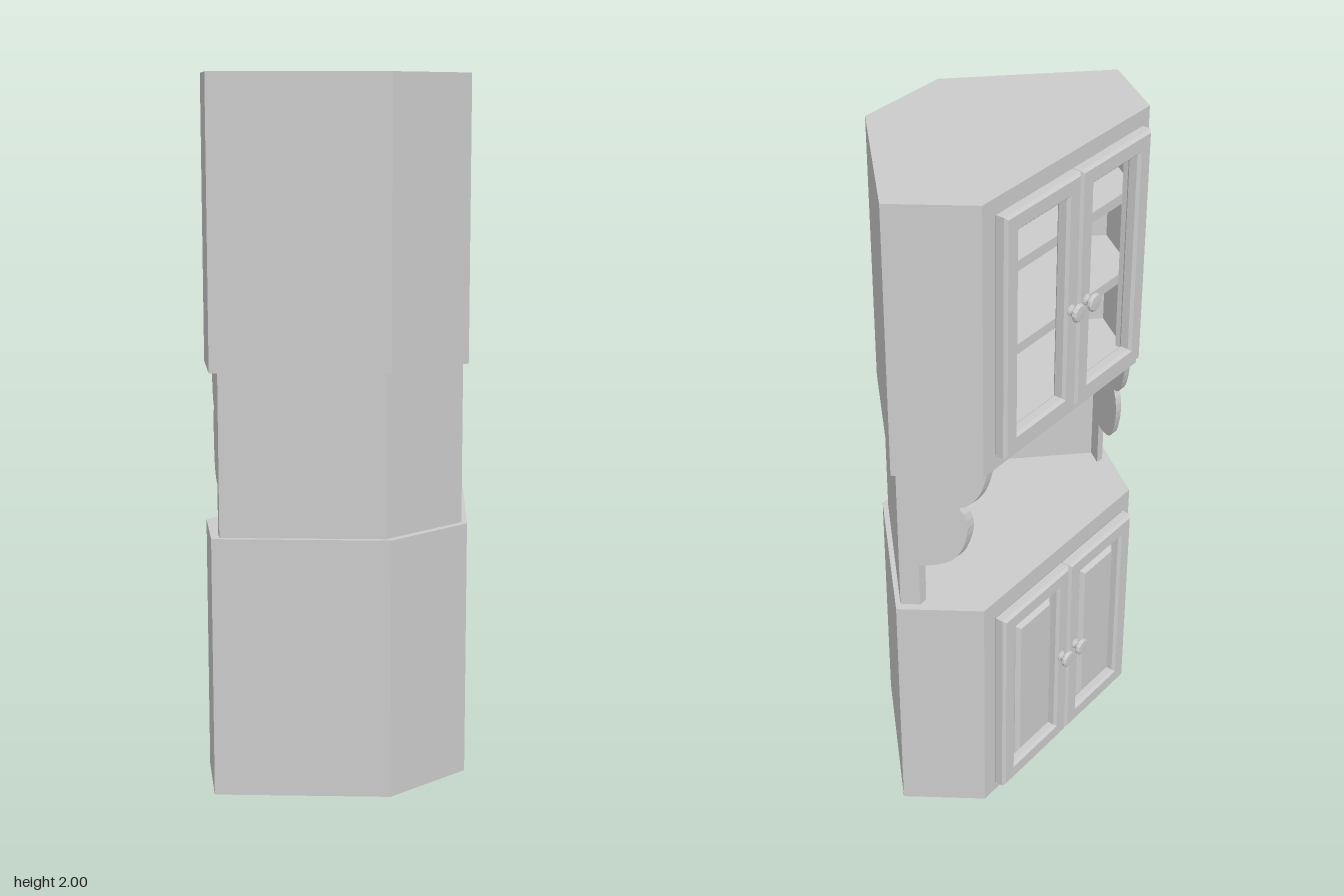
import * as THREE from 'three';

const material = new THREE.MeshStandardMaterial({ color: 0xcccccc, side: THREE.DoubleSide });

function mesh(name, geometry, parent) {
  const m = new THREE.Mesh(geometry, material);
  m.name = name;
  parent.add(m);
  return m;
}

const toShape = (points) => new THREE.Shape(points.map(([x, y]) => new THREE.Vector2(x, y)));

// Mirror a half outline given from front to back across z = 0
const mirrored = (half) => [...half, ...half.slice().reverse().map(([x, z]) => [x, -z])];

// Upright prism from a plan outline of [x, z] points
function prism(points, y0, y1) {
  const g = new THREE.ExtrudeGeometry(toShape(points), { depth: y1 - y0, bevelEnabled: false });
  return g.rotateX(-Math.PI / 2).translate(0, y0, 0);
}

// Wall following the outside of a plan, open at the front
function wall(outerHalf, innerHalf, y0, y1) {
  return prism([...mirrored(outerHalf), ...mirrored(innerHalf).reverse()], y0, y1);
}

const rect = (Type, z0, z1, y0, y1) => new Type([
  new THREE.Vector2(z0, y0), new THREE.Vector2(z1, y0),
  new THREE.Vector2(z1, y1), new THREE.Vector2(z0, y1),
]);

// Upright board facing -x, standing out from x = back, optionally with an opening
function board(outer, hole, back, thickness, bevel = 0) {
  const shape = rect(THREE.Shape, ...outer);
  if (hole) shape.holes.push(rect(THREE.Path, ...hole));
  const g = new THREE.ExtrudeGeometry(shape, {
    depth: thickness - 2 * bevel, bevelEnabled: bevel > 0, bevelSize: bevel,
    bevelThickness: bevel, bevelOffset: -bevel, bevelSegments: 1,
  });
  return g.translate(0, 0, bevel).rotateY(-Math.PI / 2).translate(back, 0, 0);
}

const inset = ([z0, z1, y0, y1], d) => [z0 + d, z1 - d, y0 + d, y1 - d];

// Turned knob pointing to -x
function knob(parent, y, z) {
  const profile = [[0.016, 0], [0.016, 0.004], [0.011, 0.007], [0.011, 0.016],
    [0.022, 0.018], [0.026, 0.022], [0.026, 0.029], [0.022, 0.033], [0, 0.034]];
  const g = new THREE.LatheGeometry(profile.map(([r, h]) => new THREE.Vector2(r, h)), 12).toNonIndexed();
  g.computeVertexNormals();
  mesh('knob', g.rotateZ(Math.PI / 2).translate(-0.279, y, z), parent);
}

// Pair of doors, open framed or with raised panels
function doors(parent, y0, y1, knobY, panelled) {
  for (const s of [-1, 1]) {
    const door = new THREE.Group();
    door.name = s > 0 ? 'leftDoor' : 'rightDoor';
    const outer = s > 0 ? [0.001, 0.315, y0, y1] : [-0.315, -0.001, y0, y1];
    const opening = inset(outer, 0.055);
    mesh('doorFrame', board(outer, opening, -0.24, 0.04, 0.008), door);
    if (panelled) {
      mesh('doorBacking', board(opening, null, -0.24, 0.012), door);
      mesh('raisedPanel', board(inset(opening, 0.022), null, -0.24, 0.032, 0.012), door);
    }
    knob(door, knobY, s * 0.035);
    parent.add(door);
  }
}

export function createModel() {
  const model = new THREE.Group();
  model.name = 'cornerCabinet';
  const plan = [[-0.24, 0.358], [-0.04, 0.5], [0.31, 0.15]];
  const planInner = [[-0.24, 0.334], [-0.042, 0.474], [0.29, 0.142]];

  // Closed lower cabinet
  const lower = new THREE.Group();
  lower.name = 'lowerCabinet';
  model.add(lower);
  mesh('lowerBody', prism(mirrored(plan), 0, 0.74), lower);
  doors(lower, 0.04, 0.69, 0.37, true);

  // Open niche between the cabinets
  const niche = new THREE.Group();
  niche.name = 'niche';
  model.add(niche);
  mesh('nicheWall', wall([[-0.035, 0.475], [0.288, 0.15]], [[-0.035, 0.446], [0.268, 0.142]], 0.74, 1.2), niche);

  // Scalloped side brackets, sheared to follow the slanted sides
  const scallop = new THREE.Shape();
  scallop.moveTo(-0.035, 0.74);
  scallop.lineTo(-0.035, 1.2);
  scallop.lineTo(-0.235, 1.2);
  scallop.bezierCurveTo(-0.225, 1.13, -0.21, 1.09, -0.172, 1.08);
  scallop.bezierCurveTo(-0.2, 1.04, -0.195, 0.99, -0.175, 0.93);
  scallop.bezierCurveTo(-0.16, 0.895, -0.13, 0.88, -0.08, 0.88);
  scallop.lineTo(-0.08, 0.74);
  for (const s of [-1, 1]) {
    const g = new THREE.ExtrudeGeometry(scallop, { depth: 0.027, bevelEnabled: false, curveSegments: 6 });
    const p = g.attributes.position;
    const start = s > 0 ? 0.4725 : -0.4995;
    for (let i = 0; i < p.count; i++) p.setZ(i, p.getZ(i) + start + s * 0.7 * p.getX(i));
    g.computeVertexNormals();
    mesh(s > 0 ? 'leftBracket' : 'rightBracket', g, niche);
  }

  // Hollow upper cabinet with shelves
  const upper = new THREE.Group();
  upper.name = 'upperCabinet';
  model.add(upper);
  mesh('upperFloor', prism(mirrored(plan), 1.2, 1.22), upper);
  mesh('upperTop', prism(mirrored(plan), 1.98, 2), upper);
  mesh('upperWall', wall(plan, planInner, 1.22, 1.98), upper);
  mesh('faceFrame', board([-0.334, 0.334, 1.22, 1.98], [-0.275, 0.275, 1.29, 1.92], -0.22, 0.02), upper);
  const shelfPlan = mirrored([[-0.2, 0.362], [-0.042, 0.474], [0.29, 0.142]]);
  for (const y of [1.47, 1.72]) mesh('shelf', prism(shelfPlan, y, y + 0.03), upper);
  doors(upper, 1.25, 1.96, 1.575, false);

  return model;
}
